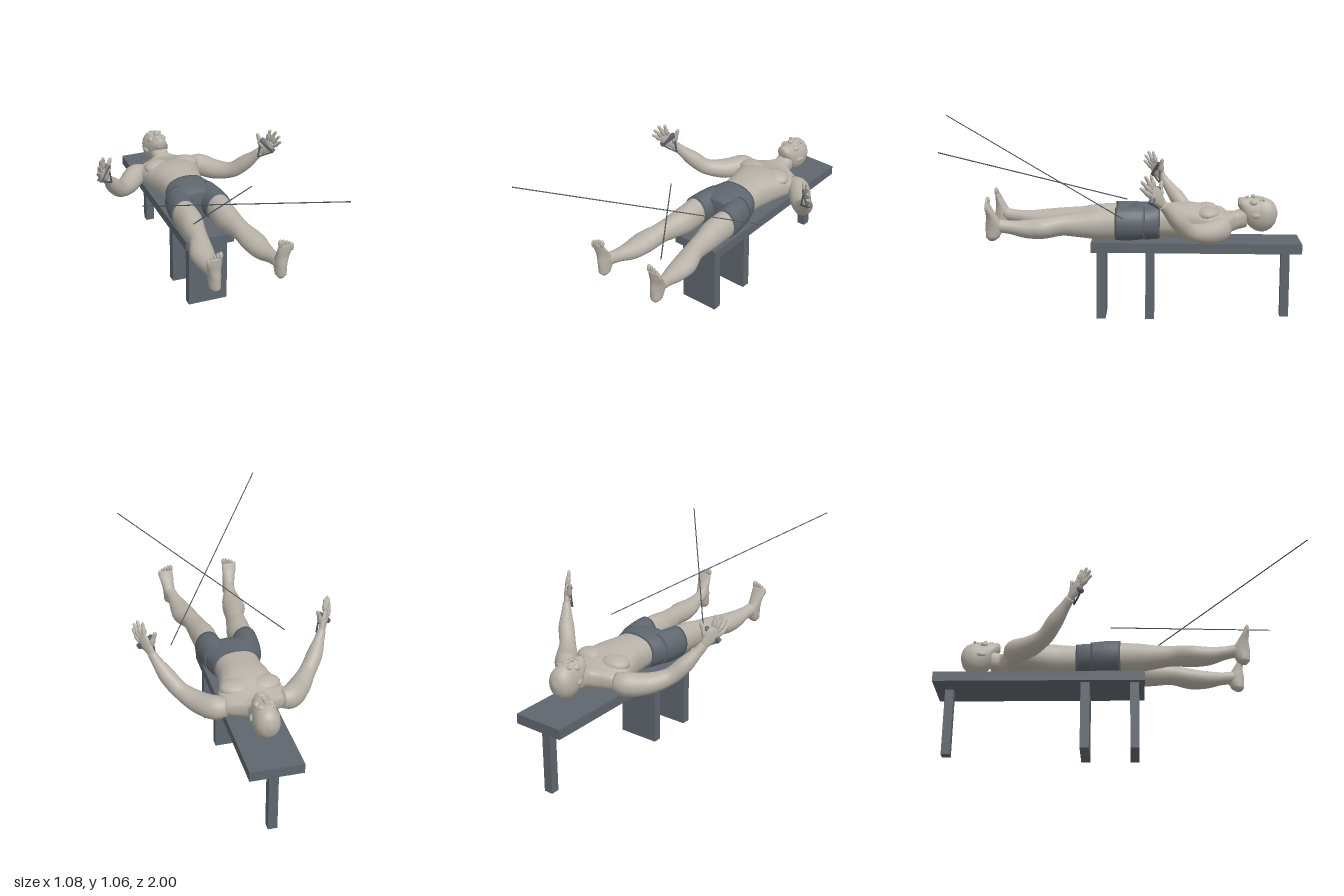
import * as THREE from 'three';

const skin = new THREE.MeshStandardMaterial({ color: 0xb8b2a8 });
skin.name = 'skin';
const slate = new THREE.MeshStandardMaterial({ color: 0x5f666e });
slate.name = 'slate';
const cable = new THREE.MeshStandardMaterial({ color: 0x50545a });
cable.name = 'cable';

const V = (x, y, z) => new THREE.Vector3(x, y, z);
const Y = V(0, 1, 0), Z = V(0, 0, 1);

// Smooth closed body through stations [x, y, z, halfWidth, halfHeight];
// halfHeight lies along ref, rings face dir or else follow the path.
function loft(stations, { dir = null, ref = Y, steps = 5, sides = 24, power = 1 } = {}) {
  const path = new THREE.CatmullRomCurve3(stations.map(s => V(s[0], s[1], s[2])));
  const size = new THREE.CatmullRomCurve3(stations.map(s => V(s[3], s[4], 0)));
  const rings = (stations.length - 1) * steps;
  const pos = [], index = [];
  const bend = v => Math.sign(v) * Math.abs(v) ** power;
  for (let i = 0; i <= rings; i++) {
    const c = path.getPoint(i / rings), r = size.getPoint(i / rings);
    const t = dir || path.getTangent(i / rings);
    const side = ref.clone().cross(t).normalize();
    const up = t.clone().cross(side).normalize();
    for (let j = 0; j < sides; j++) {
      const a = (j / sides) * Math.PI * 2;
      const p = c.clone().addScaledVector(side, r.x * bend(Math.cos(a))).addScaledVector(up, r.y * bend(Math.sin(a)));
      pos.push(p.x, p.y, p.z);
      if (i < rings) {
        const k = i * sides + j, n = i * sides + (j + 1) % sides;
        index.push(k, n, k + sides, n, n + sides, k + sides);
      }
    }
  }
  const first = pos.length / 3, last = first + 1, e = rings * sides;
  pos.push(...path.getPoint(0).toArray(), ...path.getPoint(1).toArray());
  for (let j = 0; j < sides; j++) {
    const n = (j + 1) % sides;
    index.push(first, n, j, last, e + j, e + n);
  }
  const g = new THREE.BufferGeometry();
  g.setAttribute('position', new THREE.Float32BufferAttribute(pos, 3));
  g.setIndex(index);
  g.computeVertexNormals();
  return g;
}

export function createModel() {
  const model = new THREE.Group();
  model.name = 'reclinedExerciser';
  const add = (name, geometry, material, parent = model) => {
    const m = new THREE.Mesh(geometry, material);
    m.name = name;
    parent.add(m);
    return m;
  };
  const box = (name, w, y0, y1, z0, z1) =>
    add(name, new THREE.BoxGeometry(w, y1 - y0, z1 - z0), slate).position.set(0, (y0 + y1) / 2, (z0 + z1) / 2);
  const blob = (name, p, r, parent, material = skin) => {
    const m = add(name, new THREE.SphereGeometry(1, 16, 12), material, parent);
    m.position.set(...p);
    m.scale.set(...r);
    return m;
  };
  const line = (name, a, b, r) =>
    add(name, new THREE.TubeGeometry(new THREE.LineCurve3(V(...a), V(...b)), 1, r, 8), cable);

  // Bench
  box('benchTop', 0.28, 0.372, 0.426, -1, 0.13);
  box('frontBenchLeg', 0.226, 0, 0.372, 0.052, 0.1);
  box('middleBenchLeg', 0.226, 0, 0.372, -0.212, -0.164);
  box('rearBenchLeg', 0.05, 0, 0.372, -0.947, -0.9);

  // Crossing cables
  line('leftCable', [0.317, 0.59, -0.05], [-0.425, 1.055, 1], 0.003);
  line('rightCable', [-0.32, 0.59, -0.05], [0.425, 0.945, 0.885], 0.003);

  // Torso and neck
  const back = V(0, 0, -1);
  add('torso', loft([
    [0, 0.53, -0.21, 0.116, 0.087], [0, 0.53, -0.32, 0.122, 0.094], [0, 0.53, -0.4, 0.14, 0.097],
    [0, 0.526, -0.48, 0.165, 0.089], [0, 0.518, -0.55, 0.185, 0.073], [0, 0.52, -0.6, 0.16, 0.058],
    [0, 0.527, -0.635, 0.085, 0.053], [0, 0.535, -0.66, 0.052, 0.053], [0, 0.55, -0.71, 0.05, 0.055],
  ], { dir: back, sides: 36, power: 0.85 }), skin);

  // Shorts, hip part
  add('shortsHips', loft([
    [0, 0.528, -0.24, 0.124, 0.098], [0, 0.526, -0.18, 0.146, 0.099],
    [0, 0.524, -0.11, 0.158, 0.095], [0, 0.52, -0.06, 0.11, 0.078],
  ], { dir: Z, sides: 36, power: 0.85 }), slate);

  // Head and face
  const head = new THREE.Group();
  head.name = 'head';
  model.add(head);
  add('skull', loft([
    [0, 0.628, -0.664, 0.022, 0.02], [0, 0.613, -0.685, 0.042, 0.043], [0, 0.582, -0.72, 0.056, 0.077],
    [0, 0.566, -0.76, 0.063, 0.09], [0, 0.564, -0.8, 0.067, 0.094], [0, 0.566, -0.84, 0.06, 0.078],
    [0, 0.568, -0.864, 0.04, 0.05], [0, 0.57, -0.876, 0.01, 0.012],
  ], { dir: back, sides: 32 }), skin, head);
  blob('noseBridge', [0, 0.655, -0.766], [0.008, 0.012, 0.03], head);
  blob('noseTip', [0, 0.662, -0.744], [0.014, 0.013, 0.011], head);
  blob('upperLip', [0, 0.656, -0.716], [0.022, 0.01, 0.006], head);
  blob('lowerLip', [0, 0.654, -0.706], [0.019, 0.01, 0.006], head);
  blob('chin', [0, 0.644, -0.678], [0.022, 0.014, 0.014], head);

  for (const s of [1, -1]) {
    const tag = s > 0 ? 'left' : 'right';
    const flip = list => list.map(p => [p[0] * s, ...p.slice(1)]);
    const limb = (name, list, material, options) => add(tag + name, loft(flip(list), options), material);

    // Face pair and chest
    blob(tag + 'Ear', [s * 0.067, 0.565, -0.755], [0.008, 0.015, 0.026], head).rotation.y = s * -0.25;
    blob(tag + 'Brow', [s * 0.026, 0.648, -0.799], [0.022, 0.009, 0.008], head);
    blob(tag + 'Eye', [s * 0.026, 0.645, -0.782], [0.012, 0.008, 0.007], head);
    blob(tag + 'Cheek', [s * 0.036, 0.632, -0.745], [0.019, 0.018, 0.024], head);
    blob(tag + 'ChestMuscle', [s * 0.078, 0.576, -0.495], [0.082, 0.04, 0.066]);

    // Shorts leg and bare leg
    limb('ShortsLeg', [
      [0.082, 0.527, -0.16, 0.074, 0.088], [0.094, 0.525, -0.08, 0.075, 0.092], [0.103, 0.525, 0, 0.07, 0.089],
    ], slate, { dir: Z });
    limb('Leg', [
      [0.102, 0.524, -0.03, 0.065, 0.083], [0.1, 0.52, 0.1, 0.067, 0.079], [0.112, 0.517, 0.2, 0.058, 0.064],
      [0.123, 0.518, 0.28, 0.053, 0.056], [0.146, 0.505, 0.38, 0.065, 0.056], [0.155, 0.502, 0.48, 0.053, 0.048],
      [0.168, 0.515, 0.57, 0.034, 0.036], [0.178, 0.525, 0.64, 0.031, 0.036],
    ], skin, { dir: Z });

    // Foot with toes pointing up
    limb('Foot', [
      [0.178, 0.443, 0.655, 0.014, 0.016], [0.179, 0.462, 0.651, 0.029, 0.036], [0.18, 0.52, 0.642, 0.033, 0.047],
      [0.185, 0.57, 0.653, 0.036, 0.031], [0.19, 0.61, 0.667, 0.041, 0.02], [0.19, 0.642, 0.676, 0.039, 0.012],
    ], skin, { dir: Y, ref: Z });
    for (let i = 0; i < 5; i++) {
      const r = i ? 0.0085 : 0.012;
      blob(tag + 'Toe' + (i + 1), [s * (0.16 + i * 0.0165), 0.655 - i * i * 0.0018, 0.678], [r, 0.022, r]);
    }

    // Arm
    limb('Arm', [
      [0.14, 0.518, -0.575, 0.045, 0.048], [0.2, 0.513, -0.555, 0.061, 0.064], [0.27, 0.507, -0.475, 0.058, 0.056],
      [0.342, 0.533, -0.388, 0.044, 0.045], [0.393, 0.59, -0.337, 0.043, 0.044],
      [0.438, 0.657, -0.282, 0.027, 0.029], [0.459, 0.692, -0.255, 0.021, 0.025],
    ], skin);

    // Open hand
    const palmNormal = V(-0.8 * s, -0.05, 0.6);
    limb('Palm', [
      [0.453, 0.68, -0.262, 0.018, 0.016], [0.468, 0.71, -0.242, 0.03, 0.017],
      [0.487, 0.745, -0.217, 0.04, 0.015], [0.5, 0.772, -0.198, 0.034, 0.01],
    ], skin, { ref: palmNormal });
    const fingers = [
      [[0.485, 0.785, -0.212], [0.488, 0.846, -0.195]], [[0.496, 0.778, -0.202], [0.512, 0.844, -0.167]],
      [[0.506, 0.765, -0.195], [0.527, 0.82, -0.148]], [[0.512, 0.745, -0.192], [0.533, 0.788, -0.142]],
      [[0.458, 0.73, -0.24], [0.432, 0.81, -0.25]],
    ];
    fingers.forEach(([a, b], i) => {
      const r = i === 4 ? 0.012 : 0.0095;
      const at = (t, k) => [...a.map((v, n) => v + (b[n] - v) * t), r * k, r * k];
      limb(i === 4 ? 'Thumb' : 'Finger' + (i + 1),
        [at(-0.15, 1), at(0.5, 1), at(0.9, 0.8), at(1, 0.3)], skin, { sides: 12, steps: 3 });
    });

    // Pull handle and its strap
    const low = [0.513, 0.706, -0.196], high = [0.451, 0.776, -0.234], apex = [0.435, 0.668, -0.236];
    limb('Handle', [[...low, 0.015, 0.015], [...high, 0.015, 0.015]], slate, { sides: 16, steps: 1 });
    for (const [name, end] of [['LowerStrap', low], ['UpperStrap', high]]) {
      line(tag + name, [end[0] * s, end[1], end[2]], [apex[0] * s, apex[1], apex[2]], 0.005);
    }
  }
  return model;
}
